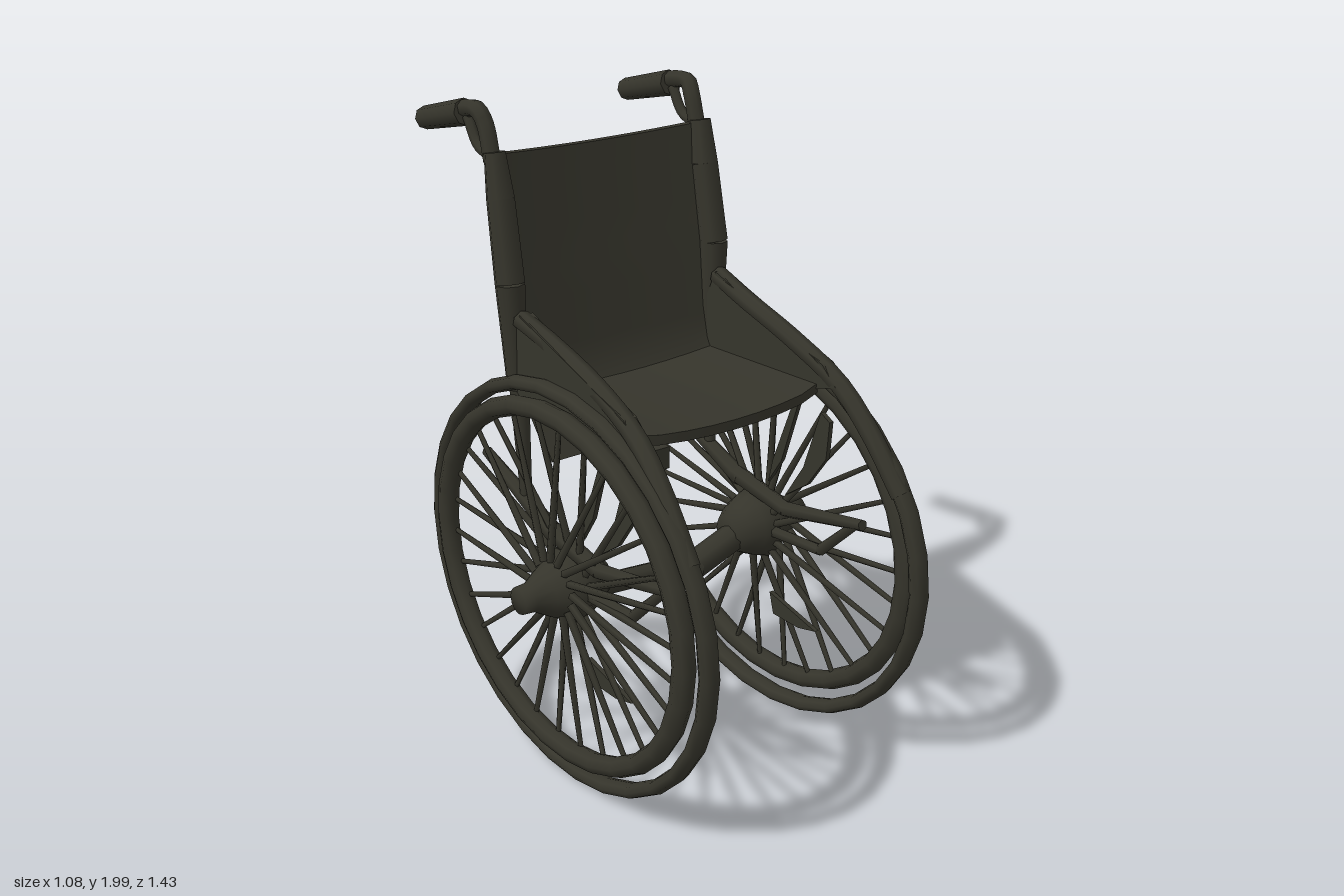
import * as THREE from 'three';
import { mergeGeometries } from 'three/addons/utils/BufferGeometryUtils.js';

const CY = 0.642;    // wheel centre height
const SQUASH = 0.88; // wheels are slightly flattened
const V = (x, y, z) => new THREE.Vector3(x, y, z);

// tapered cylinder between two points
function rodGeometry(a, b, r0, r1 = r0, sides = 6) {
  const d = b.clone().sub(a);
  const g = new THREE.CylinderGeometry(r1, r0, d.length(), sides);
  g.applyQuaternion(new THREE.Quaternion().setFromUnitVectors(V(0, 1, 0), d.clone().normalize()));
  const m = a.clone().add(b).multiplyScalar(0.5);
  return g.translate(m.x, m.y, m.z);
}

// move every vertex by a rule
function bend(g, rule) {
  const p = g.attributes.position, v = new THREE.Vector3();
  for (let i = 0; i < p.count; i++) {
    v.fromBufferAttribute(p, i);
    rule(v);
    p.setXYZ(i, v.x, v.y, v.z);
  }
  g.computeVertexNormals();
  return g;
}

export function createModel() {
  const root = new THREE.Group();
  root.name = 'wheelchair';
  const dark = new THREE.MeshStandardMaterial({ color: 0x35342b });
  dark.name = 'dark olive grey';

  const add = (parent, name, geometry) => {
    const m = new THREE.Mesh(geometry, dark);
    m.name = name;
    parent.add(m);
  };
  const tube = (points, r, n = 16) =>
    new THREE.TubeGeometry(new THREE.CatmullRomCurve3(points), n, r, 7, false);
  // flat plate drawn in (z, y), centred on x
  const plate = (points, x, depth) => {
    const s = new THREE.Shape(points.map(([z, y]) => new THREE.Vector2(z, y)));
    const g = new THREE.ExtrudeGeometry(s, { depth, bevelEnabled: false });
    return g.rotateY(-Math.PI / 2).translate(x + depth / 2, 0, 0);
  };

  // seat: thin sling, rounded front edge and slight sag to the rear
  add(root, 'seat', bend(new THREE.BoxGeometry(0.69, 0.03, 0.54, 8, 1, 6), v => {
    const k = 1 - (v.x / 0.345) ** 2;
    const f = (v.z + 0.27) / 0.54;
    v.z = -0.26 + f * (0.535 + 0.04 * Math.sqrt(k));
    v.y += 1.175 - 0.02 * k - 0.02 * (1 - f);
  }));

  // backrest: bowed sheet leaning back, tucked forward under the seat
  add(root, 'backrest', bend(new THREE.BoxGeometry(0.71, 0.88, 0.025, 10, 12, 1), v => {
    const k = 1 - (v.x / 0.355) ** 2;
    const y = v.y + 1.42;
    const low = Math.max(0, 1.17 - y);
    v.z += -0.245 - 0.14 * Math.max(0, y - 1.17) + low * 0.75 - 0.02 * k;
    v.y = y - 0.012 * k * (y > 1.5 ? 1 : 0) - 0.2 * low * v.x;
  }));
  add(root, 'underSeatClip', mergeGeometries([
    new THREE.BoxGeometry(0.12, 0.07, 0.07).translate(-0.05, 0.945, -0.04),
    new THREE.BoxGeometry(0.04, 0.09, 0.05).translate(-0.15, 0.94, -0.05),
  ]));

  // axle with a slight kink
  add(root, 'axle', mergeGeometries([
    rodGeometry(V(-0.28, 0.60, 0), V(0.07, 0.57, 0), 0.034, 0.034, 8),
    rodGeometry(V(0.03, 0.58, 0), V(0.10, 0.55, 0), 0.035, 0.05, 8),
    rodGeometry(V(0.08, 0.55, 0), V(0.28, 0.62, 0), 0.045, 0.045, 8),
  ]));

  for (const [s, label] of [[1, 'left'], [-1, 'right']]) {
    const side = new THREE.Group();
    side.name = label + 'Side';
    root.add(side);

    // wheel rings
    const ring = (R, r, depth, x, y, squash) => new THREE.TorusGeometry(R, r, 8, 30)
      .scale(1, squash, depth).rotateY(Math.PI / 2).translate(s * x, y, 0);
    add(side, 'tyre', ring(0.69, 0.025, 1.3, 0.39, 0.637, 0.882));
    add(side, 'wheelRim', ring(0.612, 0.035, 0.95, 0.415, 0.645, SQUASH));

    // evenly spread spokes, slightly skewed and dished in turn
    const spokes = [];
    const count = 30;
    for (let i = 0; i < count; i++) {
      const b = (i + 0.3) / count * Math.PI * 2;
      const a = b + (i % 2 ? 0.25 : -0.25);
      const inner = V(s * (i % 2 ? 0.42 : 0.36), CY + 0.08 * Math.sin(a), 0.09 * Math.cos(a));
      const outer = V(s * 0.405, CY + 0.6 * SQUASH * Math.sin(b), 0.6 * Math.cos(b));
      spokes.push(rodGeometry(inner, outer, 0.013, 0.008, 5));
    }
    add(side, 'spokes', mergeGeometries(spokes));

    // hub: turned profile lying along x
    const profile = [[0, 0.24], [0.05, 0.24], [0.08, 0.28], [0.1, 0.32], [0.115, 0.37], [0.09, 0.42],
      [0.075, 0.45], [0.045, 0.5], [0.042, 0.54], [0, 0.54]].map(([r, x]) => new THREE.Vector2(r, x));
    add(side, 'hub', new THREE.LatheGeometry(profile, 12)
      .rotateZ(-s * Math.PI / 2).translate(0, 0.63, -0.01));

    // frame struts beside the wheel
    const X = s * 0.355;
    add(side, 'frameStruts', mergeGeometries([
      rodGeometry(V(X, 0.80, 0.48), V(X, 0.73, 0.14), 0.018, 0.026),
      rodGeometry(V(X, 0.73, 0.14), V(X, 0.77, -0.10), 0.026, 0.03),
      rodGeometry(V(X, 0.76, -0.08), V(X, 0.91, -0.46), 0.03, 0.016),
      rodGeometry(V(X, 0.80, 0.46), V(X, 0.65, 0.30), 0.014, 0.018),
      rodGeometry(V(X, 0.65, 0.30), V(X, 0.63, 0.05), 0.018, 0.02),
      rodGeometry(V(X, 0.84, -0.24), V(X, 1.2, -0.26), 0.018, 0.03),
    ]));
    add(side, 'frameBlades', mergeGeometries([
      plate([[0.33, 1.08], [0.29, 1.10], [0.22, 0.90], [0.14, 0.78], [0.24, 0.85], [0.32, 0.96]], X, 0.015),
      plate([[0.19, 1.10], [0.16, 1.08], [0.08, 0.88], [0.06, 0.80], [0.12, 0.89]], X, 0.015),
      plate([[0.30, 0.37], [0.08, 0.42], [0.10, 0.35], [0.22, 0.35]], X, 0.015),
    ]));

    // side guard and the armrest rail running down onto the tyre
    add(side, 'sideGuard', plate([[0.36, 1.20], [0.30, 1.255], [-0.10, 1.385], [-0.20, 1.42],
      [-0.29, 1.24], [-0.2, 1.15], [0.2, 1.15]], s * 0.36, 0.045));
    add(side, 'armrestRail', tube([V(s * 0.385, 0.93, 0.6), V(s * 0.375, 1.08, 0.48), V(s * 0.365, 1.2, 0.35),
      V(s * 0.355, 1.29, 0.15), V(s * 0.355, 1.36, -0.08), V(s * 0.365, 1.4, -0.22)], 0.03));

    // back post, fuller in the middle
    add(side, 'backPost', mergeGeometries([
      rodGeometry(V(s * 0.365, 1.18, -0.25), V(s * 0.375, 1.5, -0.258), 0.032, 0.045, 8),
      rodGeometry(V(s * 0.375, 1.5, -0.258), V(s * 0.37, 1.74, -0.3), 0.045, 0.042, 8),
      rodGeometry(V(s * 0.37, 1.74, -0.3), V(s * 0.37, 1.87, -0.322), 0.042, 0.032, 8),
    ]));

    // push handle: neck, brace and grip
    add(side, 'handleNeck', tube([V(s * 0.37, 1.84, -0.335), V(s * 0.37, 1.94, -0.365),
      V(s * 0.375, 1.975, -0.39), V(s * 0.372, 1.975, -0.45), V(s * 0.37, 1.955, -0.52)], 0.026));
    add(side, 'handleBrace', tube([V(s * 0.37, 1.85, -0.34), V(s * 0.37, 1.875, -0.41),
      V(s * 0.37, 1.95, -0.46)], 0.016, 8));
    add(side, 'grip', rodGeometry(V(s * 0.37, 1.96, -0.47), V(s * 0.37, 1.905, -0.705), 0.04, 0.035, 8));
  }
  return root;
}
